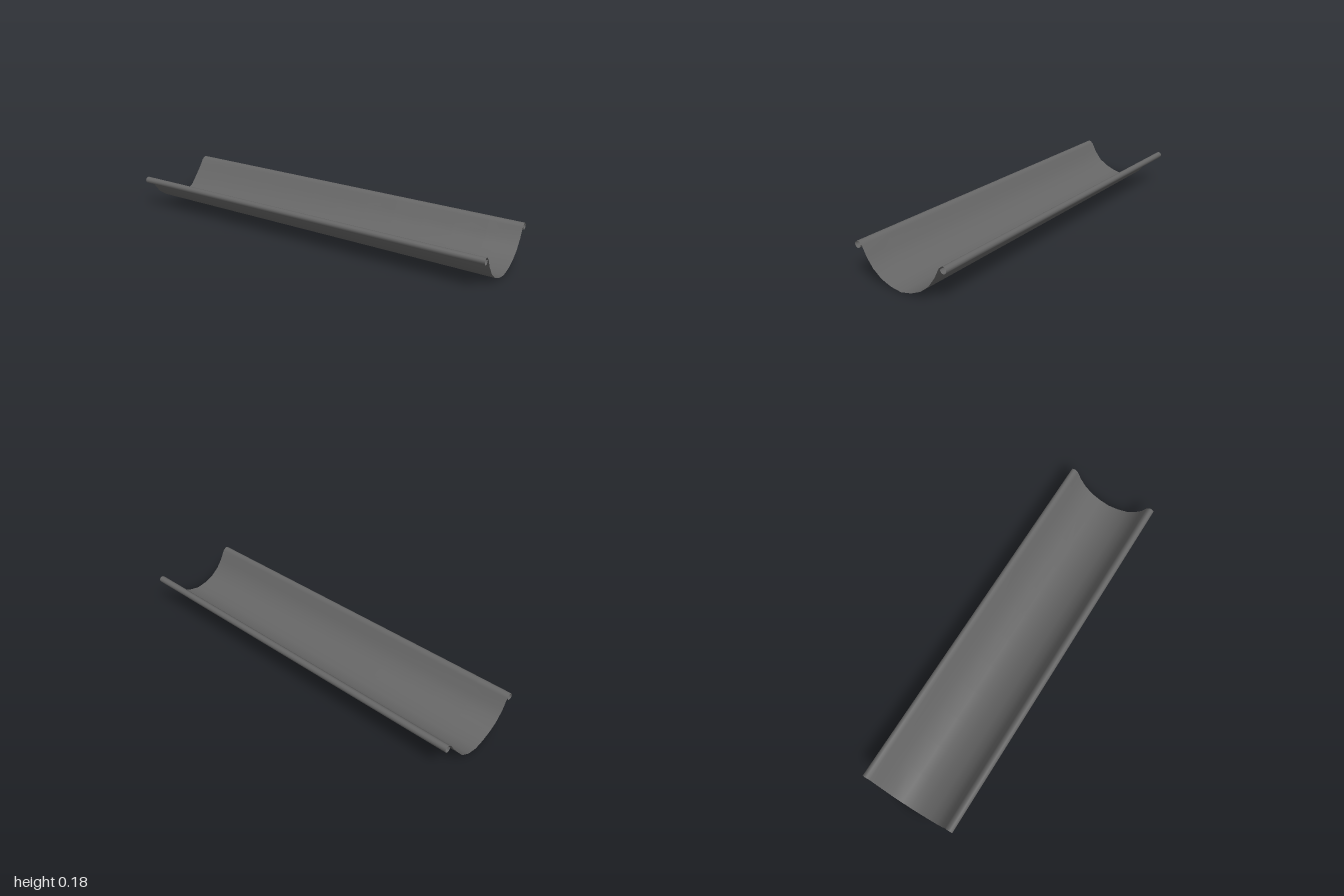
import * as THREE from 'three';

// Half cross-section as [z, y], from the bottom centre out to the rolled lip
const HALF = [[0, 0.002], [0.057, 0.012], [0.112, 0.035], [0.157, 0.071], [0.192, 0.118], [0.216, 0.166]];
const LIP = { z: 0.24, y: 0.165, r: 0.017 };
const LENGTH = 2, STEPS = 12;

// Slight warp of the trough at the far end: [dz, dy] per point of HALF
const WARP_BACK = [[0, 0.002], [0, 0], [0, 0.006], [0, 0.021], [0, 0.016], [0, 0.002]];
const WARP_FRONT = [[0, 0.002], [0, 0.006], [0, 0.007], [0, 0.002], [0, 0], [0, 0]];

// One cross-section, back lip to front lip, at warp amount t
function section(t) {
  const side = (sign, warp) => HALF.map(([z, y], i) =>
    [sign * (z + t * warp[i][0]), y + t * warp[i][1]]);
  const curl = (sign) => {
    const pts = [];
    for (let i = 0; i <= 10; i++) {
      const a = THREE.MathUtils.degToRad(140 - i * 32);
      pts.push([sign * (LIP.z + LIP.r * Math.cos(a)), LIP.y + LIP.r * Math.sin(a)]);
    }
    return pts;
  };
  const back = [...side(-1, WARP_BACK), ...curl(-1)].reverse();
  const front = [...side(1, WARP_FRONT), ...curl(1)];
  return [...back, ...front.slice(1)];
}

// Sheet lofted along x through the cross-sections
function loftSheet() {
  const positions = [], index = [];
  let n = 0;
  for (let s = 0; s <= STEPS; s++) {
    const u = s / STEPS;
    const ring = section(1 - u);
    n = ring.length;
    for (const [z, y] of ring) positions.push((u - 0.5) * LENGTH, y, z);
  }
  for (let s = 0; s < STEPS; s++) {
    for (let i = 0; i < n - 1; i++) {
      const a = s * n + i, b = a + 1, c = a + n, d = c + 1;
      index.push(a, b, c, b, d, c);
    }
  }
  const g = new THREE.BufferGeometry();
  g.setAttribute('position', new THREE.Float32BufferAttribute(positions, 3));
  g.setIndex(index);
  g.computeVertexNormals();
  return g;
}

export function createModel() {
  const group = new THREE.Group();
  group.name = 'gutter';
  const metal = new THREE.MeshStandardMaterial({ color: 0x666666, side: THREE.DoubleSide });
  metal.name = 'dark grey metal';
  // Open trough with both edges rolled into lips
  const trough = new THREE.Mesh(loftSheet(), metal);
  trough.name = 'gutterTrough';
  group.add(trough);
  return group;
}
